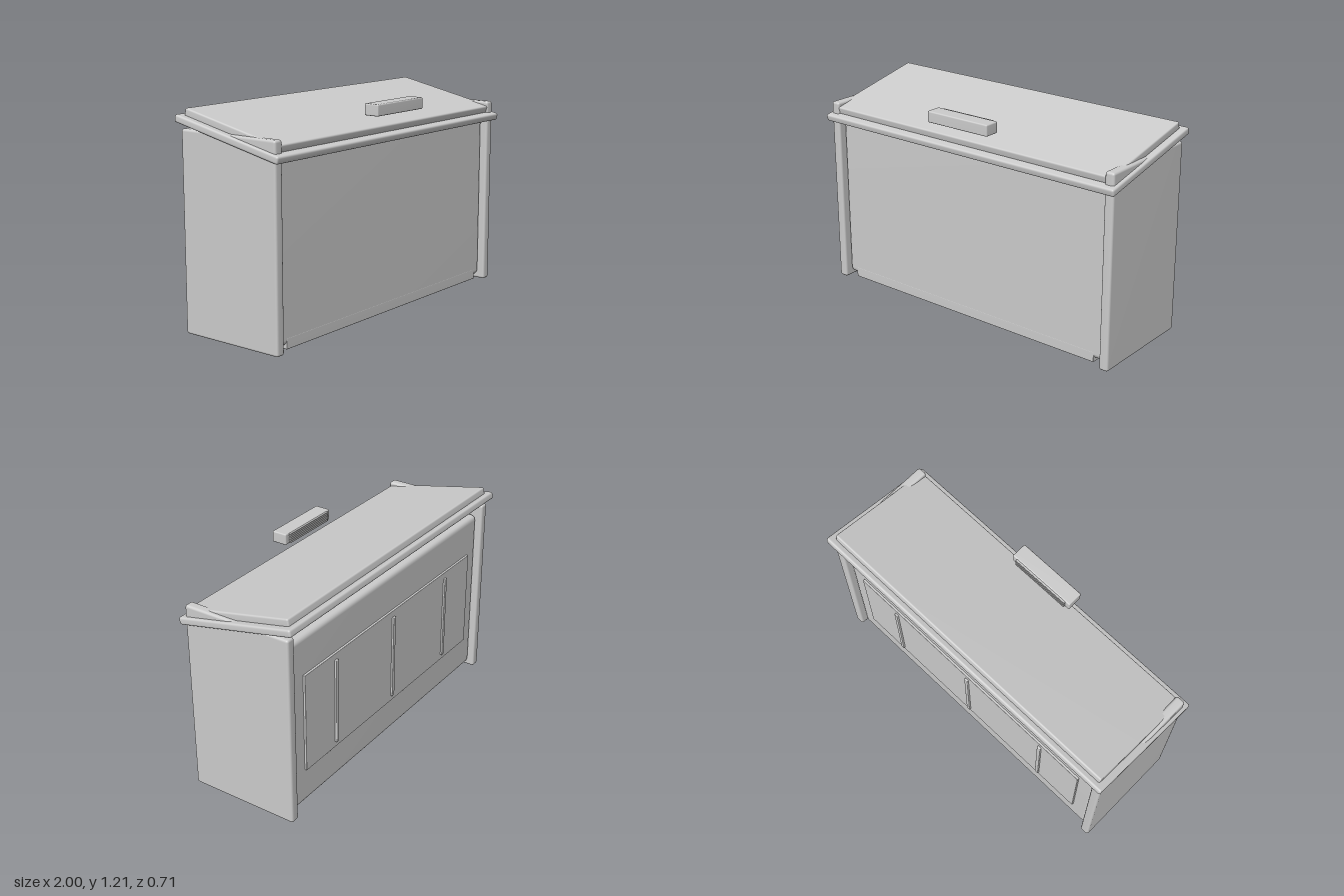
import * as THREE from 'three';
import { RoundedBoxGeometry } from 'three/addons/geometries/RoundedBoxGeometry.js';
import { mergeVertices } from 'three/addons/utils/BufferGeometryUtils.js';

const grey = new THREE.MeshStandardMaterial({ color: 0xcccccc });
grey.name = 'plain grey';

// Rounded block given by its extents on each axis, smooth-shaded across its edges
function block(parent, name, [x0, x1], [y0, y1], [z0, z1], radius) {
  const rounded = new RoundedBoxGeometry(x1 - x0, y1 - y0, z1 - z0, 2, radius);
  rounded.deleteAttribute('normal');
  rounded.deleteAttribute('uv');
  rounded.clearGroups();
  const geometry = mergeVertices(rounded, 1e-5);
  geometry.computeVertexNormals();
  const mesh = new THREE.Mesh(geometry, grey);
  mesh.name = name;
  mesh.position.set((x0 + x1) / 2, (y0 + y1) / 2, (z0 + z1) / 2);
  parent.add(mesh);
  return mesh;
}

export function createModel() {
  const model = new THREE.Group();
  model.name = 'chest';

  // Cabinet body with its low plinth
  block(model, 'body', [-0.93, 0.93], [0.03, 1.04], [-0.29, 0.288], 0.03);
  block(model, 'plinth', [-0.87, 0.87], [0.01, 0.07], [-0.215, 0.2885], 0.004);

  // End panels standing proud of the body front and back
  for (const side of [-1, 1]) {
    const panel = block(model, side > 0 ? 'leftEndPanel' : 'rightEndPanel',
      [0.926, 0.982], [0.002, 1.102], [-0.324, 0.324], 0.014);
    panel.position.x *= side;
  }

  // Sloping top: wide slab with a smaller panel on it
  const top = new THREE.Group();
  top.name = 'slopingTop';
  top.position.y = 1.082;
  top.rotation.x = THREE.MathUtils.degToRad(12);
  block(top, 'topSlab', [-1, 1], [-0.021, 0.021], [-0.361, 0.361], 0.012);
  block(top, 'topPanel', [-0.962, 0.962], [0.015, 0.06], [-0.33, 0.315], 0.01);
  model.add(top);

  // Service plate on the back with three upright bars
  block(model, 'backPlate', [-0.825, 0.82], [0.237, 0.817], [-0.303, -0.28], 0.003);
  for (const x of [-0.55, 0, 0.55]) {
    block(model, 'backBar', [x - 0.012, x + 0.012], [0.27, 0.78], [-0.314, -0.295], 0.005);
  }

  // Separate grip above the front edge, ribbed on its rear face
  const grip = new THREE.Group();
  grip.name = 'grip';
  block(grip, 'gripBody', [-0.206, 0.206], [1.137, 1.202], [0.267, 0.358], 0.008);
  for (let i = 0; i < 6; i++) {
    const y = 1.145 + i * 0.01;
    block(grip, 'gripRib', [-0.178, 0.175], [y - 0.003, y + 0.003], [0.256, 0.27], 0.0025);
  }
  model.add(grip);

  return model;
}
